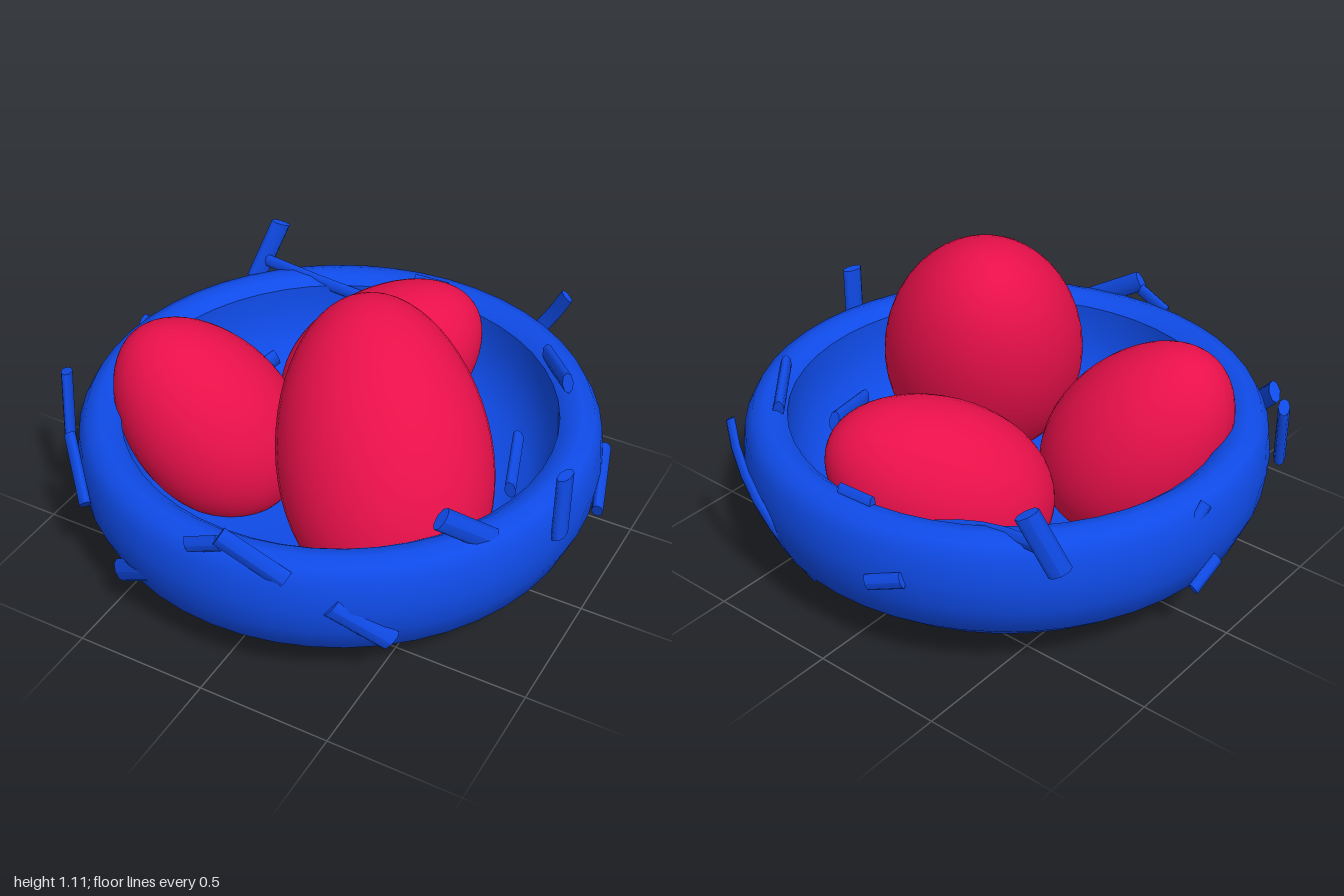
import * as THREE from 'three';

const blue = new THREE.MeshStandardMaterial({ color: 0x0f4be8, side: THREE.DoubleSide });
const red = new THREE.MeshStandardMaterial({ color: 0xe8104a });
const V = (x, y, z) => new THREE.Vector3(x, y, z);

// Egg: sphere stretched along its axis, slightly narrower at the upper end
function makeEgg(name, centre, axis, half, radius) {
  const geo = new THREE.SphereGeometry(1, 40, 28);
  const pos = geo.attributes.position;
  for (let i = 0; i < pos.count; i++) {
    const y = pos.getY(i);
    const r = radius * (1 - 0.08 * y);
    pos.setXYZ(i, pos.getX(i) * r, y * half, pos.getZ(i) * r);
  }
  geo.computeVertexNormals();
  const egg = new THREE.Mesh(geo, red);
  egg.name = name;
  egg.position.copy(centre);
  egg.quaternion.setFromUnitVectors(V(0, 1, 0), axis.normalize());
  return egg;
}

// Straw: flattened, capped stem swept from a through mid to b, thin side facing outward
function makeStraw(a, mid, b, width) {
  const control = mid.clone().multiplyScalar(2).addScaledVector(a, -0.5).addScaledVector(b, -0.5);
  const curve = new THREE.QuadraticBezierCurve3(a, control, b);
  const along = b.clone().sub(a).normalize();
  const out = V(mid.x, 0.1, mid.z);
  out.addScaledVector(along, -out.dot(along)).normalize();
  const side = along.clone().cross(out).normalize();
  const geo = new THREE.CylinderGeometry(0.5, 0.5, 1, 8, 6);
  const pos = geo.attributes.position;
  for (let i = 0; i < pos.count; i++) {
    const p = curve.getPoint(pos.getY(i) + 0.5);
    p.addScaledVector(side, -pos.getX(i) * width).addScaledVector(out, pos.getZ(i) * width * 0.5);
    pos.setXYZ(i, p.x, p.y, p.z);
  }
  geo.computeVertexNormals();
  const straw = new THREE.Mesh(geo, blue);
  straw.name = 'straw';
  return straw;
}

// Straw laid along the wall: angle from the front, radius, height, tilt from upright
function wallStraw([angle, radius, y, tilt], length, width) {
  const t = THREE.MathUtils.degToRad(angle);
  const k = THREE.MathUtils.degToRad(tilt);
  const mid = V(radius * Math.sin(t), y, radius * Math.cos(t));
  const dir = V(Math.cos(t) * Math.sin(k), Math.cos(k), -Math.sin(t) * Math.sin(k));
  const end = (s) => mid.clone().addScaledVector(dir, s * length / 2);
  return makeStraw(end(-1), mid, end(1), width);
}

export function createModel() {
  const model = new THREE.Group();
  model.name = 'nestWithEggs';

  // Outer wall with rounded rim, then the hollow inside
  const outer = [[0, 0.11], [0.68, 0.11], [0.82, 0.15], [0.91, 0.23], [0.955, 0.34], [0.967, 0.44],
    [0.955, 0.54], [0.925, 0.595], [0.88, 0.612], [0.835, 0.605], [0.8, 0.575]];
  const inner = [[0.8, 0.575], [0.8, 0.48], [0.775, 0.37], [0.71, 0.27], [0.58, 0.2], [0, 0.165]];
  const nest = new THREE.Group();
  nest.name = 'nest';
  for (const [name, points] of [['outerWall', outer], ['innerBowl', inner]]) {
    const profile = points.map(([r, y]) => new THREE.Vector2(r, y));
    const wall = new THREE.Mesh(new THREE.LatheGeometry(profile, 48), blue);
    wall.name = name;
    nest.add(wall);
  }
  model.add(nest);

  model.add(
    makeEgg('largeEgg', V(0.29, 0.615, 0.215), V(-0.38, 0.83, -0.41), 0.555, 0.38),
    makeEgg('rightEgg', V(-0.445, 0.492, 0.21), V(-0.53, 0.81, 0.2), 0.43, 0.307),
    makeEgg('backEgg', V(-0.05, 0.462, -0.43), V(0.58, 0.49, -0.65), 0.43, 0.3),
  );

  const straws = new THREE.Group();
  straws.name = 'straws';
  // Long straws on the wall and in the hollow
  const long = [
    [-62, 1, 0.56, -15], [-43, 0.98, 0.51, -50], [-21, 0.93, 0.3, 55], [11, 0.93, 0.61, -60],
    [33, 0.95, 0.38, -50], [56, 0.9, 0.66, -50], [79, 0.97, 0.61, 0], [107, 0.97, 0.38, 65],
    [129, 0.82, 0.63, -80], [108, 0.65, 0.39, -100], [226, 1, 0.65, -25], [243, 0.64, 0.32, 110],
    [-33, 0.71, 0.23, 100],
  ];
  // Short stubs on the rim, wall and underside
  const short = [
    [0, 0.93, 0.61, 65], [195, 0.97, 0.42, 70], [183, 0.84, 0.61, 90], [264, 0.96, 0.3, 60],
    [261, 0.94, 0.53, 45], [11, 0.68, 0.24, 90], [143, 0.52, 0.12, 60], [-58, 0.75, 0.13, 60],
    [74, 0.78, 0.16, 50],
  ];
  long.forEach((s) => straws.add(wallStraw(s, 0.26, 0.085)));
  short.forEach((s) => straws.add(wallStraw(s, 0.14, 0.06)));
  // Bent straws at the back, and the one the nest rests on
  straws.add(
    makeStraw(V(0.52, 0.71, -0.87), V(0.37, 0.45, -0.91), V(0.16, 0.18, -0.85), 0.06),
    makeStraw(V(-0.73, 0.61, -0.68), V(-0.46, 0.58, -0.68), V(-0.2, 0.5, -0.76), 0.06),
    makeStraw(V(-0.38, 0.13, -0.06), V(-0.3, 0.08, -0.07), V(-0.2, 0.03, -0.08), 0.07),
  );
  model.add(straws);
  return model;
}
